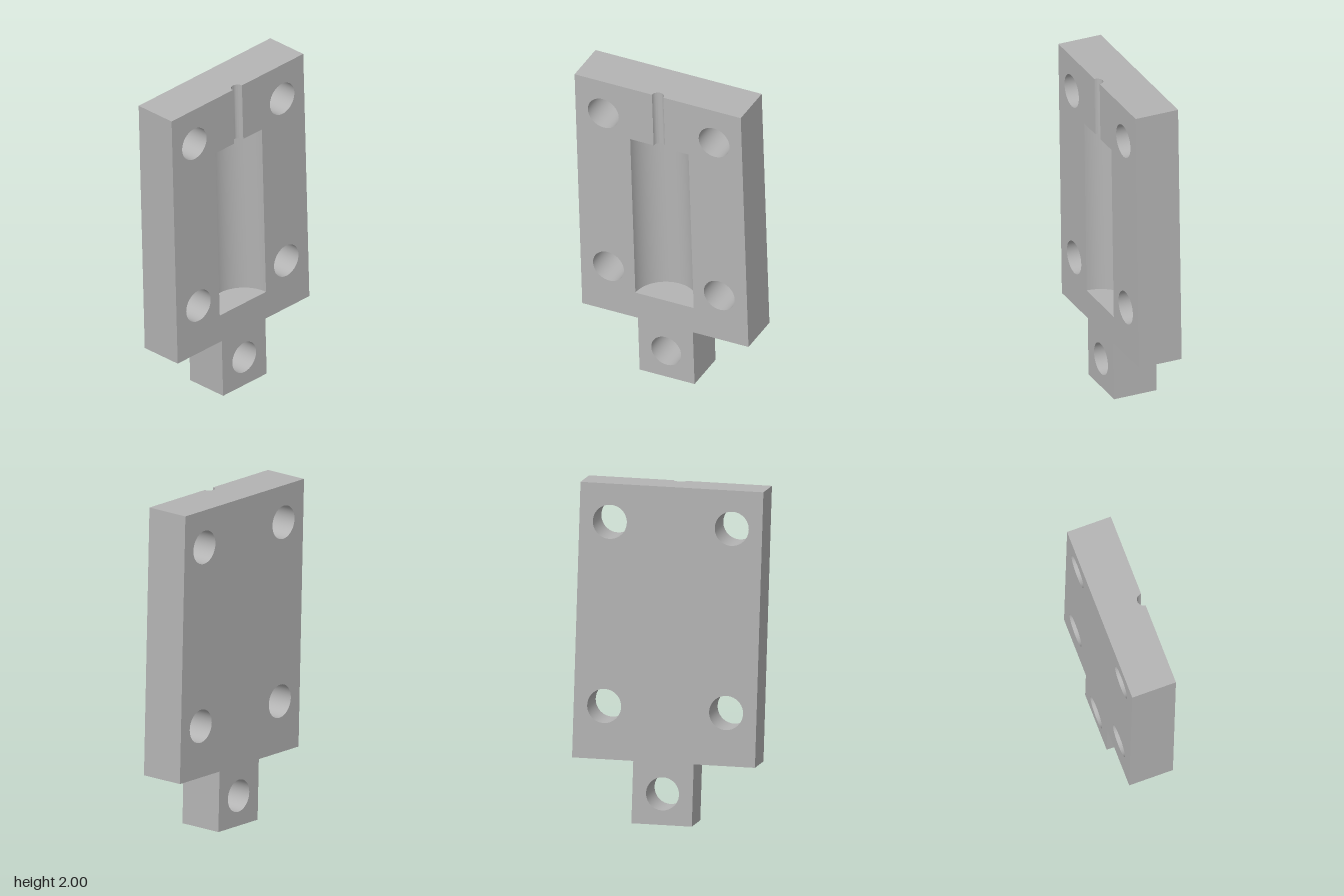
import * as THREE from 'three';
import { toCreasedNormals } from 'three/addons/utils/BufferGeometryUtils.js';

const T = 0.27;                    // thickness
const W = 0.5385, H = 1.613;       // plate half width, height
const TAB_W = 0.178, TAB_H = 0.365;
const P = 0.189, P0 = 0.174, P1 = 1.256; // pocket radius, bottom, top
const G = 0.037;                   // groove radius
const TILT = 0.031;

const V2 = (x, y) => new THREE.Vector2(x, y);

// Points on an arc
function arc(cx, cy, r, from, to, n) {
  return Array.from({ length: n + 1 }, (_, i) => {
    const t = from + (to - from) * i / n;
    return V2(cx + r * Math.cos(t), cy + r * Math.sin(t));
  });
}

// Surface of quads between two matching rows of points
function strip(a, b) {
  const pts = [];
  for (let i = 0; i < a.length - 1; i++) {
    pts.push(a[i], b[i], b[i + 1], a[i], b[i + 1], a[i + 1]);
  }
  return toCreasedNormals(new THREE.BufferGeometry().setFromPoints(pts), 0.6);
}

// Wall through the thickness along a flat path
const wall = path => strip(
  path.map(p => new THREE.Vector3(p.x, p.y, T / 2)),
  path.map(p => new THREE.Vector3(p.x, p.y, -T / 2)));

// Half-round channel open to the front
function channel(r, y0, y1) {
  const section = arc(0, 0, r, 0, Math.PI, 32);
  const row = y => section.map(p => new THREE.Vector3(p.x, y, T / 2 - p.y));
  return strip(row(y0), row(y1));
}

export function createModel() {
  const steel = new THREE.MeshStandardMaterial({ color: 0xb4b4b4 });
  steel.name = 'grey metal';
  const model = new THREE.Group();
  model.name = 'mouldHalf';
  const add = (name, geometry) => {
    const mesh = new THREE.Mesh(geometry, steel);
    mesh.name = name;
    model.add(mesh);
    return mesh;
  };

  // Through holes: four in the corners, one in the tab
  const holes = [[-0.359, 0.311, 0.1], [0.359, 0.311, 0.1],
    [-0.359, 1.389, 0.1], [0.359, 1.389, 0.1], [0, -0.183, 0.097]]
    .map(([x, y, r]) => arc(x, y, r, Math.PI * 2, 0, 48));
  const face = outline => {
    const shape = new THREE.Shape(outline);
    shape.holes = holes.map(h => new THREE.Path(h.slice(0, -1)));
    return new THREE.ShapeGeometry(shape);
  };
  holes.forEach((h, i) => add(i < 4 ? 'cornerHole' : 'tabHole', wall(h)));

  // Outline from the top left corner, round the tab, to the top right
  const sides = [V2(-W, H), V2(-W, 0), V2(-TAB_W, 0), V2(-TAB_W, -TAB_H),
    V2(TAB_W, -TAB_H), V2(TAB_W, 0), V2(W, 0), V2(W, H)];
  add('outerWalls', wall(sides));
  add('backFace', face(sides).rotateY(Math.PI).translate(0, 0, -T / 2));

  // Front face is cut out around the pocket and its groove
  const cut = [V2(G, H), V2(G, P1), V2(P, P1), V2(P, P0),
    V2(-P, P0), V2(-P, P1), V2(-G, P1), V2(-G, H)];
  add('frontFace', face([...sides, ...cut]).translate(0, 0, T / 2));

  // Half-round pocket and groove
  add('pocket', channel(P, P0, P1));
  add('groove', channel(G, P1, H));

  // Level faces, drawn as x against depth behind the front
  const level = pts => new THREE.ShapeGeometry(new THREE.Shape(pts));
  const notch = arc(0, 0, G, Math.PI, 0, 32);
  add('topFace', level([...notch, V2(W, 0), V2(W, T), V2(-W, T), V2(-W, 0)])
    .rotateX(-Math.PI / 2).translate(0, H, T / 2));
  add('pocketBottomEnd', level(arc(0, 0, P, 0, Math.PI, 32))
    .rotateX(-Math.PI / 2).translate(0, P0, T / 2));
  const topEnd = [...arc(0, 0, P, Math.PI, Math.PI * 2, 32),
    ...arc(0, 0, G, Math.PI * 2, Math.PI, 32)];
  add('pocketTopEnd', level(topEnd)
    .rotateX(Math.PI / 2).translate(0, P1, T / 2));

  // The whole plate leans slightly
  model.rotation.z = TILT;
  model.position.set(0.0235, 0.371, 0);
  const root = new THREE.Group();
  root.name = 'mouldPlate';
  root.add(model);
  return root;
}
